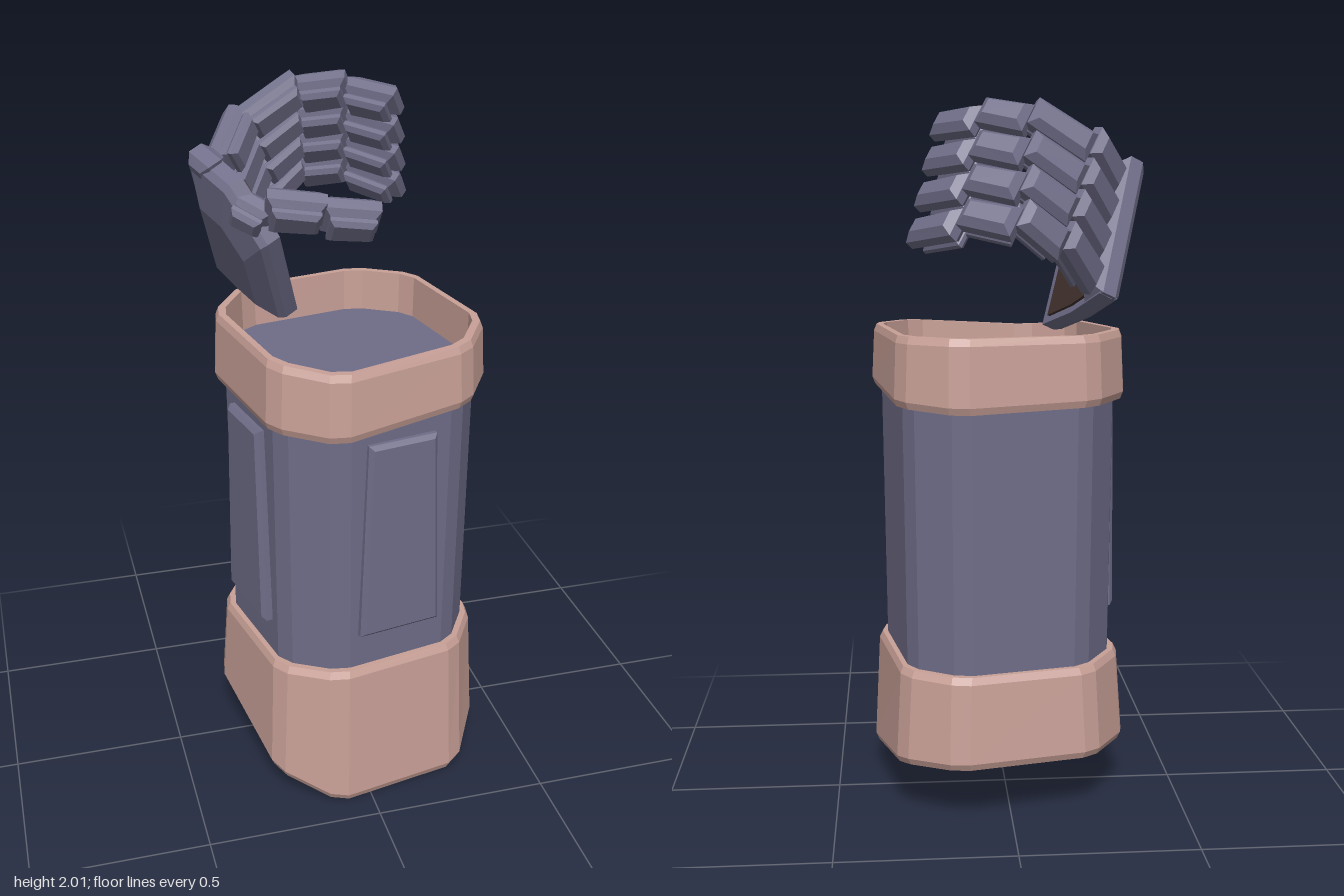
import * as THREE from 'three';

const slate = new THREE.MeshStandardMaterial({ color: 0x6f6d88 });
slate.name = 'slate armour';
const rose = new THREE.MeshStandardMaterial({ color: 0xc8a097 });
rose.name = 'rose trim';
const brown = new THREE.MeshStandardMaterial({ color: 0x42322e });
brown.name = 'dark brown palm';

function add(parent, name, geometry, material) {
  const mesh = new THREE.Mesh(geometry, material);
  mesh.name = name;
  parent.add(mesh);
  return mesh;
}

// Flat-faced skin over a stack of rings, each ring counter-clockwise seen from the last one's side.
// Caps fan out from the point with index fan.
function loft(rings, caps = true, fan = 0) {
  const pos = [];
  const n = rings[0].length;
  const tri = (a, b, c) => pos.push(...a, ...b, ...c);
  for (let r = 0; r < rings.length - 1; r++) {
    for (let i = 0; i < n; i++) {
      const j = (i + 1) % n;
      const lo = rings[r], hi = rings[r + 1];
      tri(lo[i], lo[j], hi[j]);
      tri(lo[i], hi[j], hi[i]);
    }
  }
  const first = rings[0], last = rings[rings.length - 1];
  for (let k = 1; caps && k < n - 1; k++) {
    const i = (fan + k) % n, j = (fan + k + 1) % n;
    tri(first[fan], first[j], first[i]);
    tri(last[fan], last[i], last[j]);
  }
  const g = new THREE.BufferGeometry();
  g.setAttribute('position', new THREE.Float32BufferAttribute(pos, 3));
  g.computeVertexNormals();
  return g;
}

// Bevelled plate: bottom and top width along x, length along y, thickness along z
function plate(w0, w1, l, t, b) {
  const a = w0 / 2 - b, c = w1 / 2 - b, h = l / 2 - b;
  const shape = new THREE.Shape([[-a, -h], [a, -h], [c, h], [-c, h]].map(p => new THREE.Vector2(...p)));
  const g = new THREE.ExtrudeGeometry(shape, {
    depth: t - 2 * b, bevelThickness: b, bevelSize: b, bevelSegments: 1,
  });
  return g.translate(0, 0, b - t / 2);
}

// Chamfered forearm outline (x, z)
const outline = [[0.285, 0.35], [0.39, 0.175], [0.315, -0.24], [0.15, -0.34],
  [-0.235, -0.26], [-0.345, -0.075], [-0.265, 0.33], [-0.10, 0.425]];
const CX = 0.025, CZ = 0.045;
const NO_OFFSET = new Array(8).fill(0);

// Scaled outline at height y, with every corner cut by a small facet
function ring(scale, y, offsets = NO_OFFSET) {
  const corner = i => {
    const [x, z] = outline[(i + 8) % 8];
    return new THREE.Vector3(CX + (x - CX) * scale, y + offsets[(i + 8) % 8], CZ + (z - CZ) * scale);
  };
  const cut = (i, j) => {
    const a = corner(i), b = corner(j);
    return a.lerp(b, 0.03 / a.distanceTo(b)).toArray();
  };
  return outline.flatMap((_, i) => [cut(i, i - 1), cut(i, i + 1)]);
}

// Group whose local y is the cross product of the given z and x directions
function framed(name, z, x, position) {
  const g = new THREE.Group();
  g.name = name;
  const n = z.clone().normalize();
  const u = n.clone().cross(x).normalize();
  g.quaternion.setFromRotationMatrix(new THREE.Matrix4().makeBasis(u.clone().cross(n), u, n));
  g.position.copy(position);
  return g;
}

// One finger bone: armour shell on the outside, thinner pad on the inside
function segment(parent, name, a, b, side, w, t) {
  const dir = b.clone().sub(a);
  const length = dir.length();
  const g = framed(name, side.clone().cross(dir), side, a.clone().lerp(b, 0.5));
  add(g, 'shell', plate(w, w * 0.94, length * 1.02, t, 0.02), slate);
  add(g, 'pad', plate(w * 0.82, w * 0.76, length * 0.84, 0.036, 0.012), slate).position.z = t / 2 + 0.008;
  parent.add(g);
}

function buildForearm() {
  const arm = new THREE.Group();
  arm.name = 'forearm';
  add(arm, 'forearmBody', loft([ring(0.9, 0.4), ring(0.92, 1.26)]), slate);

  // Lower cuff with a slanted underside, folded between the side corners
  const slant = [0, 0.08, 0.165, 0.175, 0.175, 0.165, 0.075, 0];
  add(arm, 'lowerCuff', loft([
    ring(0.99, 0, slant), ring(1.015, 0.02, slant),
    ring(0.97, 0.42), ring(0.945, 0.44), ring(0.88, 0.44),
  ], true, 3), rose);

  // Upper cuff, an open ring around the recessed top
  const under = [0.015, 0.02, 0, -0.01, 0, 0, -0.01, -0.025];
  const rim = [-0.005, 0, 0, 0, 0, 0, -0.01, -0.03];
  add(arm, 'upperCuff', loft([
    ring(0.89, 1.185, under), ring(0.975, 1.185, under), ring(0.995, 1.205, under),
    ring(0.975, 1.36, rim), ring(0.955, 1.38, rim), ring(0.9, 1.38, rim), ring(0.89, 1.24),
  ], false), rose);

  // Raised panels on the front and on the outer side
  for (const [name, x, z, angle] of [['frontPanel', 0.085, 0.355, 0.18], ['sidePanel', -0.275, 0.12, -1.375]]) {
    const panel = add(arm, name, plate(0.245, 0.205, 0.59, 0.056, 0.012), slate);
    panel.position.set(x, 0.84, z);
    panel.rotation.y = angle;
  }
  return arm;
}

// Palm space: x runs across the knuckles, y from wrist to knuckles, z out of the palm
function buildPalm() {
  const hand = framed('palmGroup', new THREE.Vector3(0.87, 0.42, -0.27),
    new THREE.Vector3(0.252, -0.825, -0.505), new THREE.Vector3(-0.222, 1.6, -0.04));
  const back = [[-0.24, 0.14], [-0.25, -0.02], [-0.125, -0.15], [0.185, -0.16], [0.2, 0], [0.19, 0.14]];
  const level = (s, z, dx = 0) => back.map(([x, y]) => [x * s + dx, y * s, z]);
  add(hand, 'handBack', loft([level(0.6, -0.09, 0.03), level(0.95, -0.06), level(1, -0.04), level(1, 0)]), slate);
  const skin = [[-0.22, 0.13], [-0.225, -0.02], [-0.125, -0.115], [0.17, -0.125], [0.18, 0], [0.17, 0.13]];
  add(hand, 'palm', loft([0, 0.008].map(z => skin.map(p => [...p, z]))), brown);
  add(hand, 'knuckleBar', plate(0.45, 0.44, 0.09, 0.08, 0.02), slate).position.set(-0.03, 0.105, -0.025);
  return hand;
}

// Four curled fingers, blended from the first path to the last (y, z)
function buildFingers() {
  const fingers = framed('fingers', new THREE.Vector3(0.885, 0.46, 0.05),
    new THREE.Vector3(0.424, -0.757, -0.5), new THREE.Vector3(-0.215, 1.6, -0.04));
  const firstPath = [[0.12, 0.01], [0.235, 0.12], [0.262, 0.3], [0.195, 0.42], [0.08, 0.51]];
  const lastPath = [[0.13, -0.045], [0.26, 0.08], [0.31, 0.21], [0.235, 0.34], [0.09, 0.43]];
  const mix = THREE.MathUtils.lerp;
  for (let f = 0; f < 4; f++) {
    const t = f / 3;
    const finger = new THREE.Group();
    finger.name = 'finger' + (f + 1);
    const pts = firstPath.map(([y, z], i) => new THREE.Vector3(
      mix(mix(-0.19, -0.07, i / 4), mix(0.125, 0.265, i / 4), t),
      mix(y, lastPath[i][0], t), mix(z, lastPath[i][1], t)));
    for (let i = 0; i < 4; i++) {
      segment(finger, 'fingerSegment', pts[i], pts[i + 1], new THREE.Vector3(1, 0, 0), 0.1 - i * 0.004, 0.066);
    }
    fingers.add(finger);
  }
  return fingers;
}

function buildThumb() {
  const thumb = new THREE.Group();
  thumb.name = 'thumb';
  const pts = [[-0.27, 1.69, 0.07], [-0.225, 1.735, 0.15], [-0.075, 1.72, 0.175], [0.065, 1.675, 0.17]]
    .map(p => new THREE.Vector3(...p));
  const side = new THREE.Vector3(0, -0.8, -0.6);
  for (let i = 0; i < 3; i++) segment(thumb, 'thumbSegment', pts[i], pts[i + 1], side, i ? 0.1 : 0.08, 0.07);
  return thumb;
}

export function createModel() {
  const model = new THREE.Group();
  model.name = 'gauntletArm';
  const hand = new THREE.Group();
  hand.name = 'hand';
  hand.add(buildPalm(), buildFingers(), buildThumb());
  model.add(buildForearm(), hand);
  return model;
}
